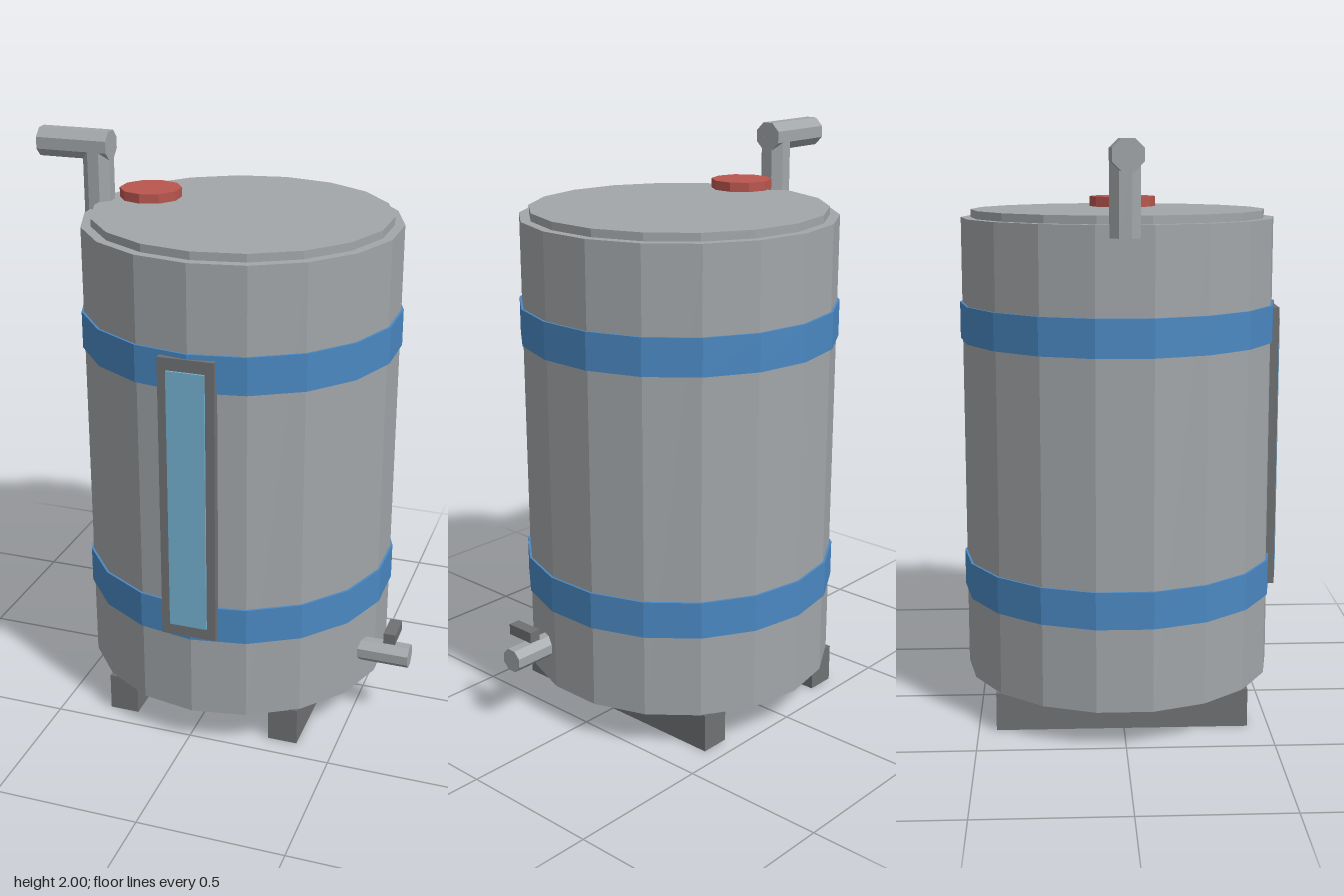
import * as THREE from 'three';

const flat = (name, color) => Object.assign(new THREE.MeshStandardMaterial({ color, flatShading: true }), { name });

export function createModel() {
  const steel = flat('steel grey', 0xa2a6a9);
  const dark = flat('dark grey', 0x707173);
  const blue = flat('blue', 0x4a88c2);
  const red = flat('red', 0xb8564e);
  const glass = flat('light blue', 0x76b2d2);

  const group = new THREE.Group();
  group.name = 'storageTank';
  const CX = 0.022, CZ = -0.006;

  const add = (name, geometry, material, x, y, z) => {
    const mesh = new THREE.Mesh(geometry, material);
    mesh.name = name;
    mesh.position.set(x, y, z);
    group.add(mesh);
    return mesh;
  };
  // Upright drum centred on the tank axis, from y0 to y1
  const drum = (name, r, y0, y1, material) =>
    add(name, new THREE.CylinderGeometry(r, r, y1 - y0, 18), material, CX, (y0 + y1) / 2, CZ);
  // Octagonal pipe with its flats facing the axes
  const pipe = (r, length) => new THREE.CylinderGeometry(r, r, length, 8, 1, false, Math.PI / 8);
  const box = (w, h, d) => new THREE.BoxGeometry(w, h, d);

  // Tank
  drum('tankBody', 0.543, 0.132, 1.736, steel);
  drum('tankLid', 0.509, 1.73, 1.763, steel);
  drum('lowerBand', 0.551, 0.421, 0.548, blue);
  drum('upperBand', 0.551, 1.317, 1.444, blue);

  // Skids under the tank
  for (const side of [-1, 1]) {
    add(side > 0 ? 'leftSkid' : 'rightSkid', box(0.104, 0.134, 0.866), dark, 0.019 + side * 0.297, 0.067, CZ);
  }

  // Sight glass on the front
  add('gaugeFrame', box(0.19, 0.993, 0.04), dark, 0.02, 0.9315, 0.53);
  add('gaugeGlass', box(0.129, 0.909, 0.009), glass, 0.02, 0.9315, 0.5525);

  // Filler cap
  add('fillerCap', new THREE.CylinderGeometry(0.106, 0.106, 0.032, 10), red, -0.306, 1.802, CZ);

  // Vent elbow
  add('ventPost', pipe(0.0525, 0.256), steel, -0.496, 1.823, CZ);
  add('ventSpout', pipe(0.0525, 0.256), steel, -0.576, 1.9515, CZ).rotation.z = Math.PI / 2;

  // Drain tap
  add('drainPipe', pipe(0.0422, 0.187), steel, 0.6045, 0.261, 0.157).rotation.z = Math.PI / 2;
  add('drainHandle', box(0.042, 0.038, 0.106), dark, 0.634, 0.347, 0.157);

  return group;
}
